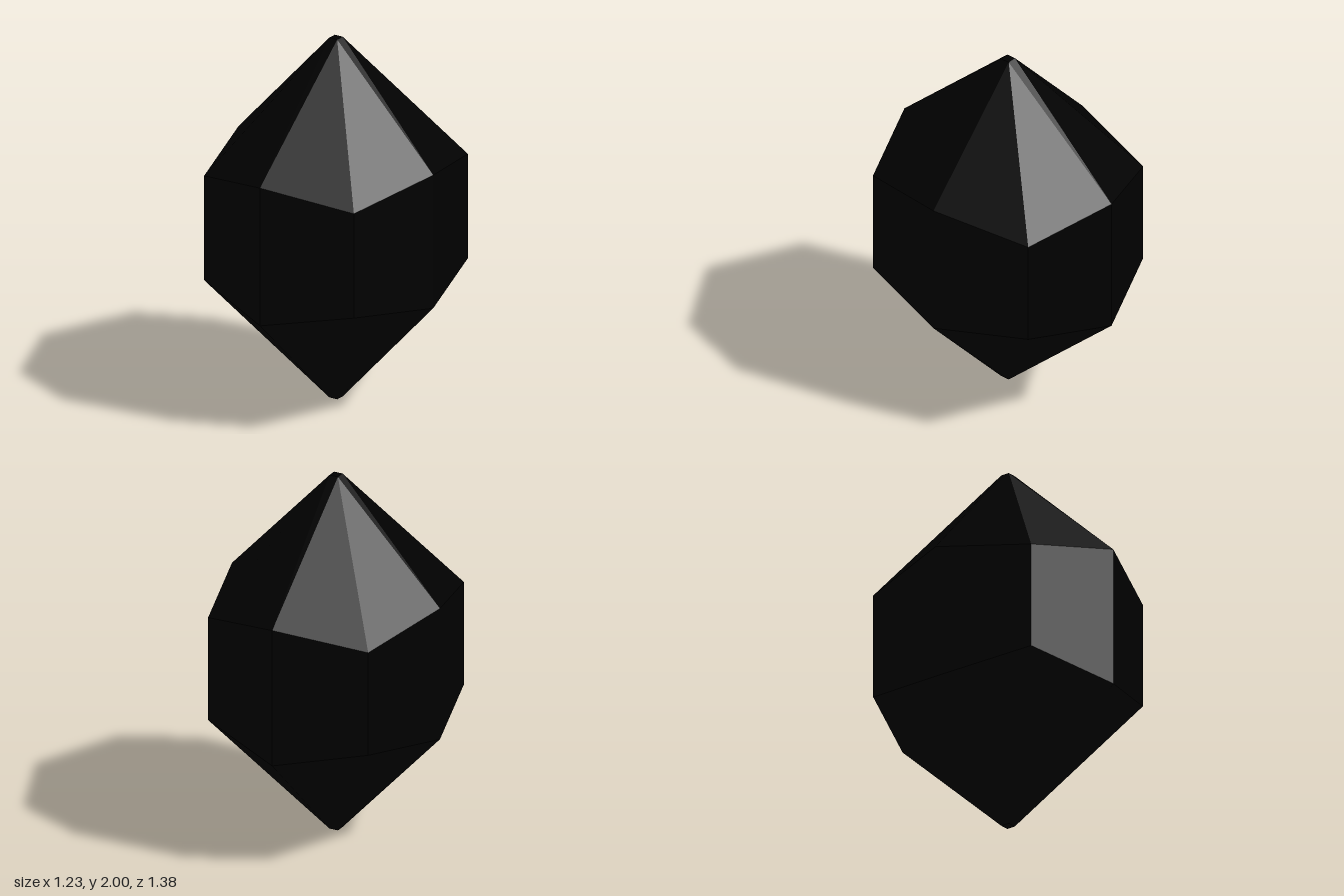
import * as THREE from 'three';
import { ConvexGeometry } from 'three/addons/geometries/ConvexGeometry.js';

export function createModel() {
  const group = new THREE.Group();
  group.name = 'crystal';
  const points = [];

  // Adds a point and its mirror image across mid height
  const addPair = (x, y, z) => {
    points.push(new THREE.Vector3(x, 1 + y, z), new THREE.Vector3(x, 1 - y, z));
  };

  for (const sx of [-1, 1]) {
    // Side and front/back edges of the eight-sided girdle
    addPair(sx * 0.613, 0.37, 0);
    addPair(0, 0.383, sx * 0.69);
    for (const sz of [-1, 1]) {
      addPair(sx * 0.472, 0.29, sz * 0.517); // corner edges
      addPair(sx * 0.025, 1, sz * 0.025); // small square tips
    }
  }

  // Faceted gem, flat on every face
  const gem = new THREE.Mesh(
    new ConvexGeometry(points),
    new THREE.MeshStandardMaterial({ color: 0x000000, flatShading: true })
  );
  gem.name = 'gem';
  group.add(gem);
  return group;
}
